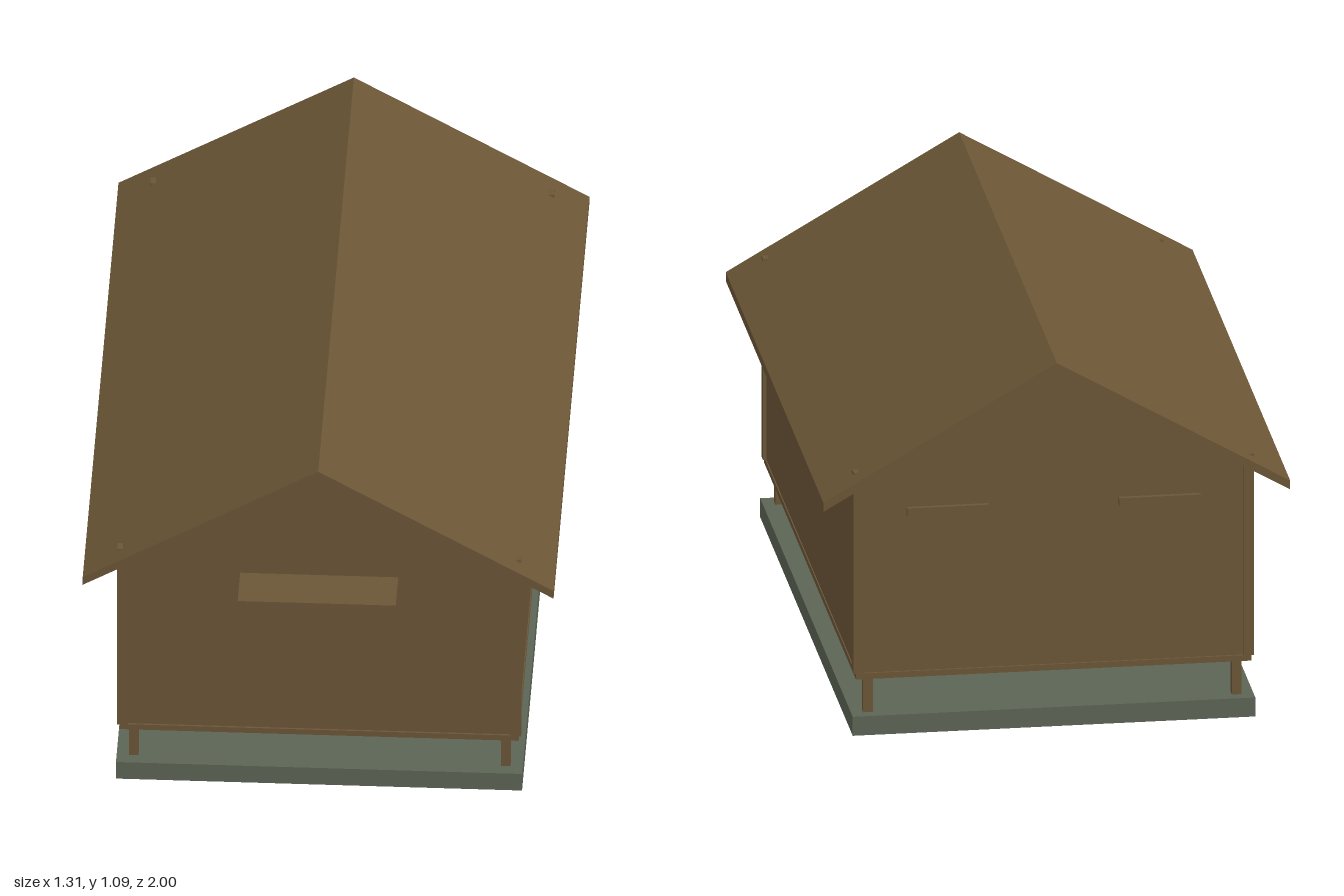
import * as THREE from 'three';

export function createModel() {
  const model = new THREE.Group();
  model.name = 'raisedHut';

  const wood = new THREE.MeshStandardMaterial({ color: 0x6b5636 });
  wood.name = 'brownWood';
  const concrete = new THREE.MeshStandardMaterial({ color: 0x5c6455 });
  concrete.name = 'greenGreyConcrete';

  const add = (name, geometry, material = wood) => {
    const mesh = new THREE.Mesh(geometry, material);
    mesh.name = name;
    model.add(mesh);
    return mesh;
  };
  // Box given by its lower and upper limits on each axis
  const box = (name, [x0, x1], [y0, y1], [z0, z1], material) =>
    add(name, new THREE.BoxGeometry(x1 - x0, y1 - y0, z1 - z0), material)
      .position.set((x0 + x1) / 2, (y0 + y1) / 2, (z0 + z1) / 2);
  // Outline in x and y, extruded along z
  const prism = (name, points, z0, z1) => {
    const shape = new THREE.Shape(points.map(([x, y]) => new THREE.Vector2(x, y)));
    const geometry = new THREE.ExtrudeGeometry(shape, { depth: z1 - z0, bevelEnabled: false });
    add(name, geometry.translate(0, 0, z0));
  };
  const span = (side, a, b) => (side > 0 ? [a, b] : [-b, -a]);

  // Base: a thin plate with a rim, open underneath
  box('basePlate', [-0.565, 0.565], [0.05, 0.056], [-0.945, 0.875], concrete);
  box('frontBaseRim', [-0.565, 0.565], [0, 0.05], [0.871, 0.875], concrete);
  box('backBaseRim', [-0.565, 0.565], [0, 0.05], [-0.945, -0.941], concrete);

  // Floor
  box('floor', [-0.555, 0.555], [0.163, 0.18], [-0.938, 0.868]);

  // Gabled body, set back from the posts and floor edge
  const pitch = 0.58;
  const wallX = 0.552;
  const wallTop = 1.07 - wallX * pitch;
  prism('walls', [[-wallX, 0.18], [wallX, 0.18], [wallX, wallTop], [0, 1.07], [-wallX, wallTop]], -0.932, 0.862);

  // Roof with overhanging eaves
  const eave = 0.655;
  const eaveTop = 1.091 - eave * pitch;
  prism('roof', [
    [-eave, eaveTop - 0.026], [0, 1.065], [eave, eaveTop - 0.026],
    [eave, eaveTop], [0, 1.091], [-eave, eaveTop],
  ], -1, 0.922);

  for (const side of [-1, 1]) {
    box('sideBaseRim', span(side, 0.561, 0.565), [0, 0.05], [-0.941, 0.871], concrete);

    // Corner posts and stilts
    for (const [end, postZ, stiltZ] of [['front', [0.842, 0.87], [0.815, 0.839]], ['back', [-0.94, -0.912], [-0.912, -0.887]]]) {
      box(end + 'CornerPost', span(side, 0.532, 0.562), [0.18, 0.774], postZ);
      box(end + 'Stilt', span(side, 0.504, 0.531), [0, 0.163], stiltZ);
    }
    // Vent battens on the side and back walls
    for (const z of [[0.295, 0.51], [-0.58, -0.365]]) {
      box('sideVentBatten', span(side, 0.55, 0.566), [0.641, 0.663], z);
    }
    box('backVentBatten', span(side, 0.183, 0.412), [0.641, 0.663], [-0.945, -0.93]);
  }

  // Doorway with lintel and small awning
  box('door', [-0.115, 0.115], [0.19, 0.655], [0.86, 0.867]);
  box('doorLintel', [-0.15, 0.15], [0.665, 0.694], [0.86, 0.88]);
  box('doorAwning', [-0.22, 0.22], [0.693, 0.7], [0.86, 1]);

  return model;
}
